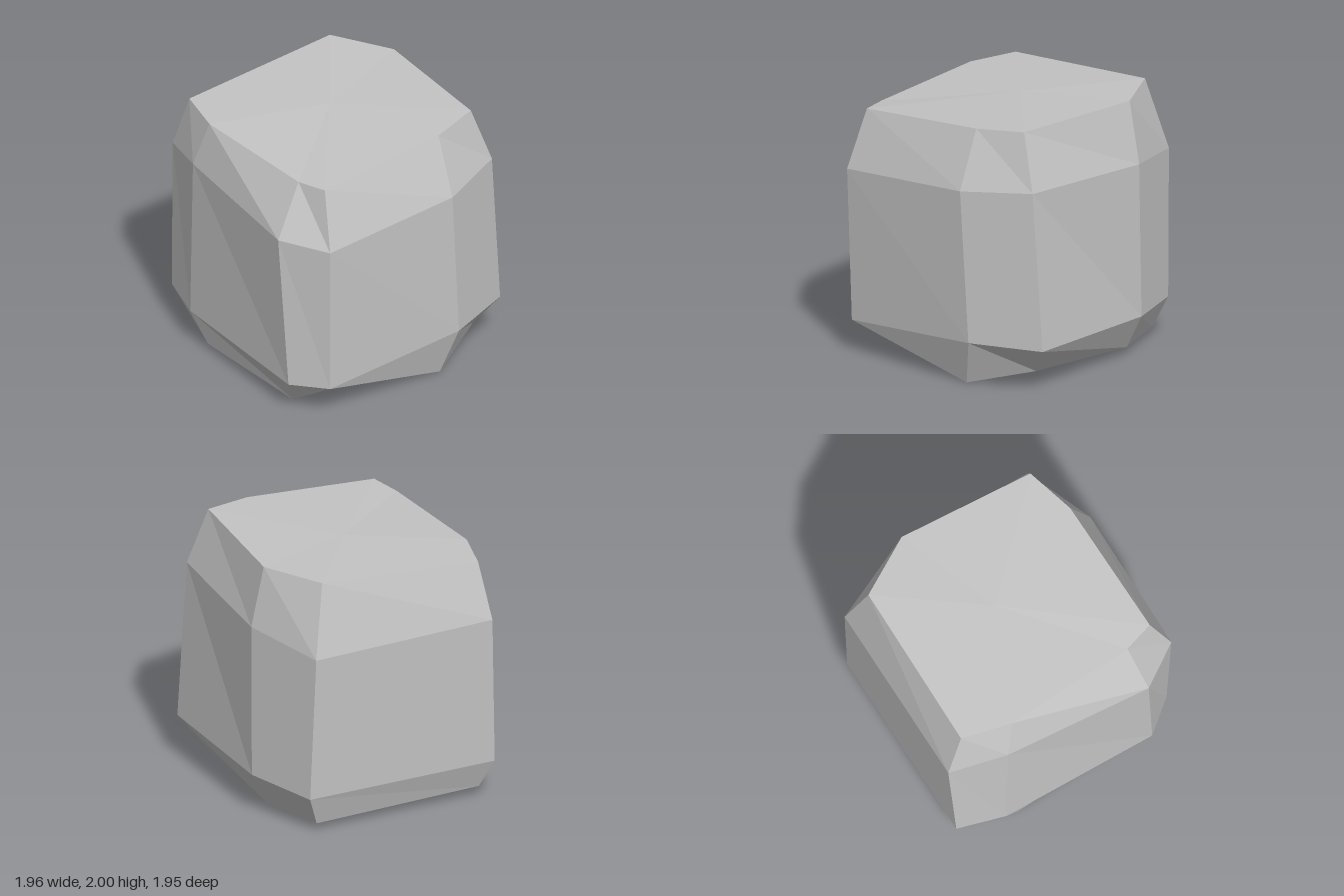
import * as THREE from 'three';

// Outlines of the boulder from base to crown, each running
// front-left corner -> front -> right -> back -> left, as [x, y, z]
const base = [
  [-0.65, 0.14, 0.77], [0.335, 0, 0.85], [0.81, 0.14, 0.61], [0.78, 0.06, -0.4],
  [0.61, 0.06, -0.86], [-0.73, 0.08, -0.84], [-0.86, 0.045, -0.41], [-0.79, 0.01, 0.56],
];
const lower = [
  [-0.73, 0.26, 0.945], [0.44, 0.355, 0.945], [0.975, 0.355, 0.72], [0.92, 0.33, -0.41],
  [0.7, 0.3, -0.935], [-0.82, 0.3, -0.92], [-0.92, 0.28, -0.55], [-0.93, 0.25, 0.7],
];
const upper = [
  [-0.75, 1.44, 0.975], [0.37, 1.525, 0.96], [0.89, 1.57, 0.735], [0.915, 1.52, -0.39],
  [0.67, 1.44, -0.975], [-0.78, 1.47, -0.965], [-0.91, 1.54, -0.53], [-0.98, 1.47, 0.64],
];
const crown = [
  [-0.69, 1.885, 0.825], [0.37, 1.97, 0.785], [0.745, 2, 0.67], [0.815, 1.99, -0.395],
  [0.555, 1.99, -0.84], [-0.73, 1.895, -0.825], [-0.825, 1.895, -0.44], [-0.76, 1.87, 0.59],
];

export function createModel() {
  const rings = [base, lower, upper, crown];
  const n = base.length;
  const points = [...rings.flat(), [0, 0.07, 0], [0.01, 1.955, -0.08]];
  const bottomCentre = n * rings.length;
  const topCentre = bottomCentre + 1;
  const index = [];

  for (let i = 0; i < n; i++) {
    const j = (i + 1) % n;
    // Side bands between neighbouring outlines
    for (let r = 0; r < rings.length - 1; r++) {
      const lo = r * n, hi = lo + n;
      index.push(hi + i, lo + i, lo + j, hi + i, lo + j, hi + j);
    }
    // Fans closing the underside and the top
    index.push(bottomCentre, j, i);
    index.push(topCentre, bottomCentre - n + i, bottomCentre - n + j);
  }

  const indexed = new THREE.BufferGeometry();
  indexed.setAttribute('position', new THREE.Float32BufferAttribute(points.flat(), 3));
  indexed.setIndex(index);
  const geometry = indexed.toNonIndexed();
  geometry.computeVertexNormals();

  const stone = new THREE.MeshStandardMaterial({ color: 0xc4c4c4, flatShading: true });
  stone.name = 'stone grey';

  const boulder = new THREE.Mesh(geometry, stone);
  boulder.name = 'boulder';
  const group = new THREE.Group();
  group.name = 'rock';
  group.add(boulder);
  return group;
}
